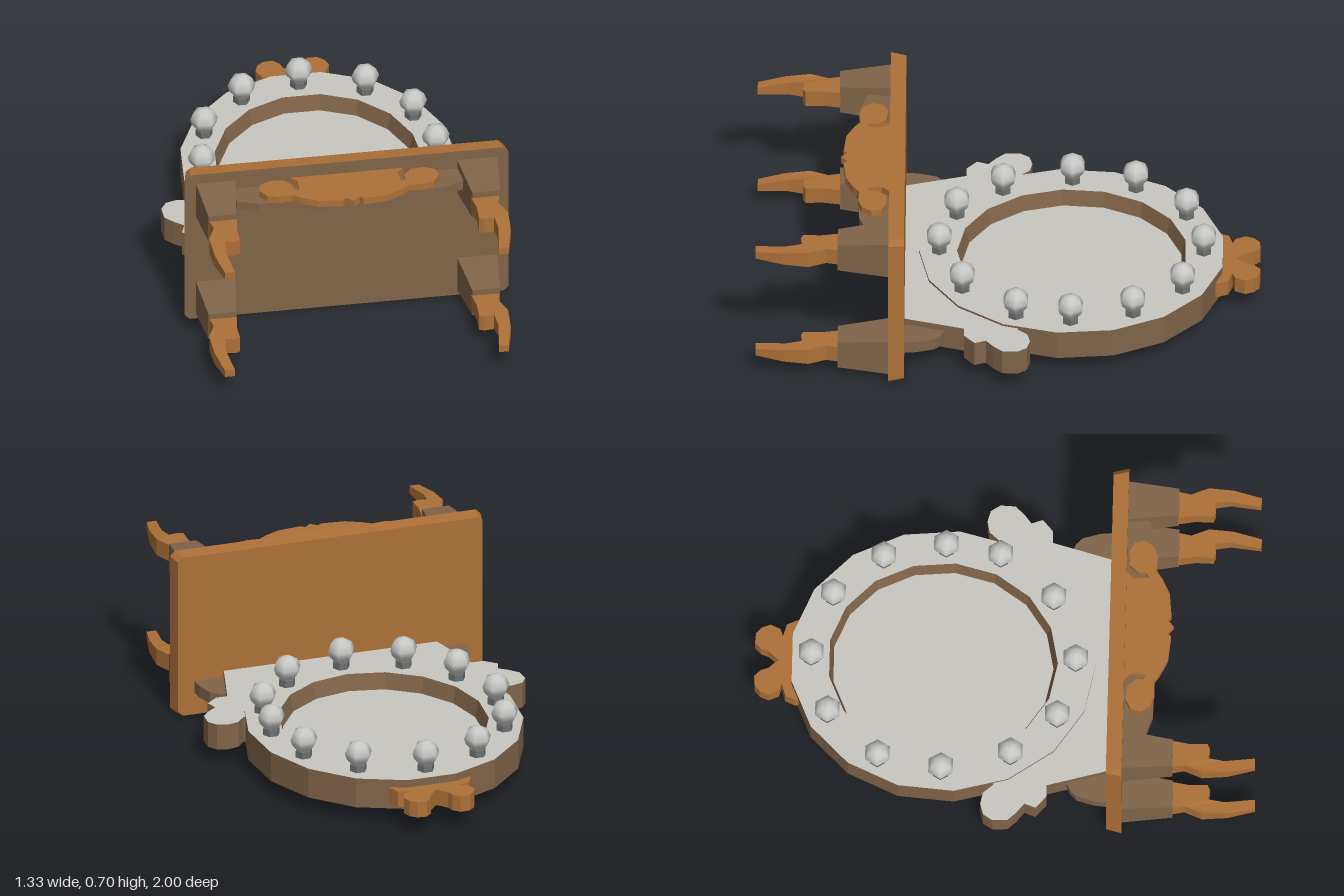
import * as THREE from 'three';

const mat = (name, color) => {
  const m = new THREE.MeshStandardMaterial({ color, flatShading: name !== 'bulb glass' });
  m.name = name;
  return m;
};

export function createModel() {
  const model = new THREE.Group();
  model.name = 'vanityTable';
  const orange = mat('warm wood', 0xad7038);
  const brown = mat('dull wood', 0x806449);
  const grey = mat('mirror grey', 0xc8c7c1);
  const metal = mat('socket grey', 0x6d7070);
  const glass = mat('bulb glass', 0xc8c8c6);

  const add = (name, geometry, material, parent = model) => {
    const m = new THREE.Mesh(geometry, material);
    m.name = name;
    parent.add(m);
    return m;
  };
  // mirror a half outline (from x > 0 side) into a closed one
  const both = half => [...half, ...half.filter(p => p[0] !== 0).reverse().map(([x, z]) => [-x, z])];
  // extrusion with material slots: 0 = start cap and sides, 1 = end cap
  const extrude = (pts, depth) => {
    const g = new THREE.ExtrudeGeometry(new THREE.Shape(pts.map(p => new THREE.Vector2(...p))), { depth, bevelEnabled: false });
    const [caps, sides] = g.groups;
    const n = caps.count / 2;
    g.clearGroups();
    g.addGroup(0, n, 0);
    g.addGroup(n, n, 1);
    g.addGroup(sides.start, sides.count, 0);
    return g;
  };
  // horizontal plate from an outline in x, z
  const plate = (pts, y0, y1) =>
    extrude(pts.map(([x, z]) => [x, -z]), y1 - y0).rotateX(-Math.PI / 2).translate(0, y0, 0);
  // move vertices by a rule
  const warp = (g, rule) => {
    const p = g.attributes.position, v = new THREE.Vector3();
    for (let i = 0; i < p.count; i++) {
      rule(v.fromBufferAttribute(p, i));
      p.setXYZ(i, v.x, v.y, v.z);
    }
    g.computeVertexNormals();
    return g;
  };

  // table top: chamfered slab, slightly smaller at the back
  const top = extrude(both([[0.65, -0.33], [0.65, 0.33], [0.63, 0.35], [0, 0.35], [0, -0.35], [0.63, -0.35]]
    .filter(p => p[0] > 0).sort((a, b) => a[1] - b[1])), 0.062);
  warp(top, v => { if (v.z < 0.01) { v.x *= 0.98; v.y *= 0.98; } });
  add('tableTop', top.translate(0, 0.35, 0.41), [orange, brown]);

  // legs: tapered block and curved foot
  const footOutline = [[0.47, 0.67], [0.482, 0.74], [0.48, 0.81], [0.5, 0.82], [0.54, 0.815], [0.548, 0.88],
    [0.53, 1], [0.57, 1], [0.595, 0.89], [0.6, 0.79], [0.572, 0.72], [0.582, 0.67]];
  for (const s of [1, -1]) {
    for (const y of [0.1, 0.577]) {
      const leg = new THREE.Group();
      leg.name = 'leg';
      model.add(leg);
      const block = warp(new THREE.BoxGeometry(0.16, 0.16, 0.205), v => {
        if (v.z > 0) { v.x = v.x * 0.7 + 0.005 * s; v.y *= 0.76; }
      });
      add('legBlock', block.translate(s * 0.525, y, 0.571), brown, leg);
      const foot = warp(plate(footOutline.map(([x, z]) => [x * s, z]), -0.035, 0.035), v => {
        v.y *= 1 - 0.55 * Math.max(0, (v.z - 0.81) / 0.19);
      });
      add('foot', foot.translate(0, y, 0), orange, leg);
    }
  }

  // apron under the table edge with its carving
  add('apron', plate(both([[0.455, 0.46], [0.455, 0.56], [0.37, 0.59], [0.2, 0.595], [0.1, 0.62], [0, 0.63]]),
    0.577, 0.617), brown);
  add('apronCarving', plate(both([[0.23, 0.47], [0.2, 0.5], [0.205, 0.56], [0.225, 0.55], [0.225, 0.52],
    [0.255, 0.485], [0.31, 0.48], [0.35, 0.5], [0.362, 0.54], [0.335, 0.58], [0.29, 0.595], [0.235, 0.59],
    [0.2, 0.615], [0.14, 0.645], [0.04, 0.655], [0.028, 0.64], [0, 0.665]]), 0.615, 0.645), orange);

  // oval mirror frame from lathed bands, 17 sides, wider along z
  const mirror = new THREE.Group();
  mirror.name = 'mirror';
  model.add(mirror);
  const band = (name, pts, material) => add(name,
    new THREE.LatheGeometry(pts.map(p => new THREE.Vector2(...p)), 17)
      .scale(0.905, 1, 1).translate(0, 0, -0.253), material, mirror);
  band('frameShell', [[0, 0.062], [0.608, 0.062], [0.608, 0.187]], brown);
  band('frameFace', [[0.608, 0.187], [0.457, 0.187]], grey);
  band('frameInnerWall', [[0.457, 0.187], [0.44, 0.12]], brown);
  band('mirrorPane', [[0.44, 0.12], [0, 0.12]], grey);

  // shield and ears joining the frame to the table; inner edge hidden in the frame
  const half = [[0.445, 0.415], [0.512, 0.172], [0.56, 0.172], [0.608, 0.13], [0.592, 0.085], [0.63, 0.055],
    [0.662, 0.02], [0.665, -0.04], [0.64, -0.078], [0.595, -0.09], [0.55, -0.08], [0.515, -0.04], [0.47, -0.04]];
  for (let i = 3; i >= 0; i--) {
    const a = i * 0.36;
    half.push([0.48 * Math.sin(a), -0.253 + 0.53 * Math.cos(a)]);
  }
  add('mirrorShield', plate(both(half), 0.07, 0.178), [brown, grey]);
  for (const s of [1, -1]) {
    add('sideScroll', plate([[0.43, 0.415], [0.57, 0.415], [0.565, 0.36], [0.545, 0.29], [0.52, 0.265],
      [0.49, 0.25], [0.45, 0.3]].map(([x, z]) => [x * s, z]), 0.1, 0.15), brown);
  }

  // crown carving with two lobes
  add('crown', plate(both([[0.165, -0.8], [0.168, -0.835], [0.15, -0.875], [0.1, -0.89], [0.13, -0.9], [0.148, -0.94],
    [0.135, -0.975], [0.11, -0.997], [0.07, -1], [0.045, -0.975], [0.035, -0.945], [0, -0.905]]), 0.088, 0.155), orange);

  // ring of twelve bulbs on sockets
  const spots = [[0, -0.775], [0.255, -0.693], [0.417, -0.497], [0.47, -0.25], [0.433, -0.033], [0.258, 0.182],
    [0, 0.275], [-0.238, 0.207], [-0.4, 0.025], [-0.47, -0.25], [-0.422, -0.502], [-0.24, -0.705]];
  const lathe = pts => new THREE.LatheGeometry(pts.map(p => new THREE.Vector2(...p)), 6).rotateY(Math.PI / 6);
  const socketShape = lathe([[0.034, 0.18], [0.034, 0.215], [0.028, 0.225]]);
  const bulbShape = lathe([[0.028, 0.215], [0.049, 0.24], [0.056, 0.264], [0.043, 0.295], [0.02, 0.309], [0, 0.312]]);
  for (const [x, z] of spots) {
    const light = new THREE.Group();
    light.name = 'bulbLight';
    light.position.set(x, 0, z);
    model.add(light);
    add('socket', socketShape, metal, light);
    add('bulb', bulbShape, glass, light);
  }
  return model;
}
